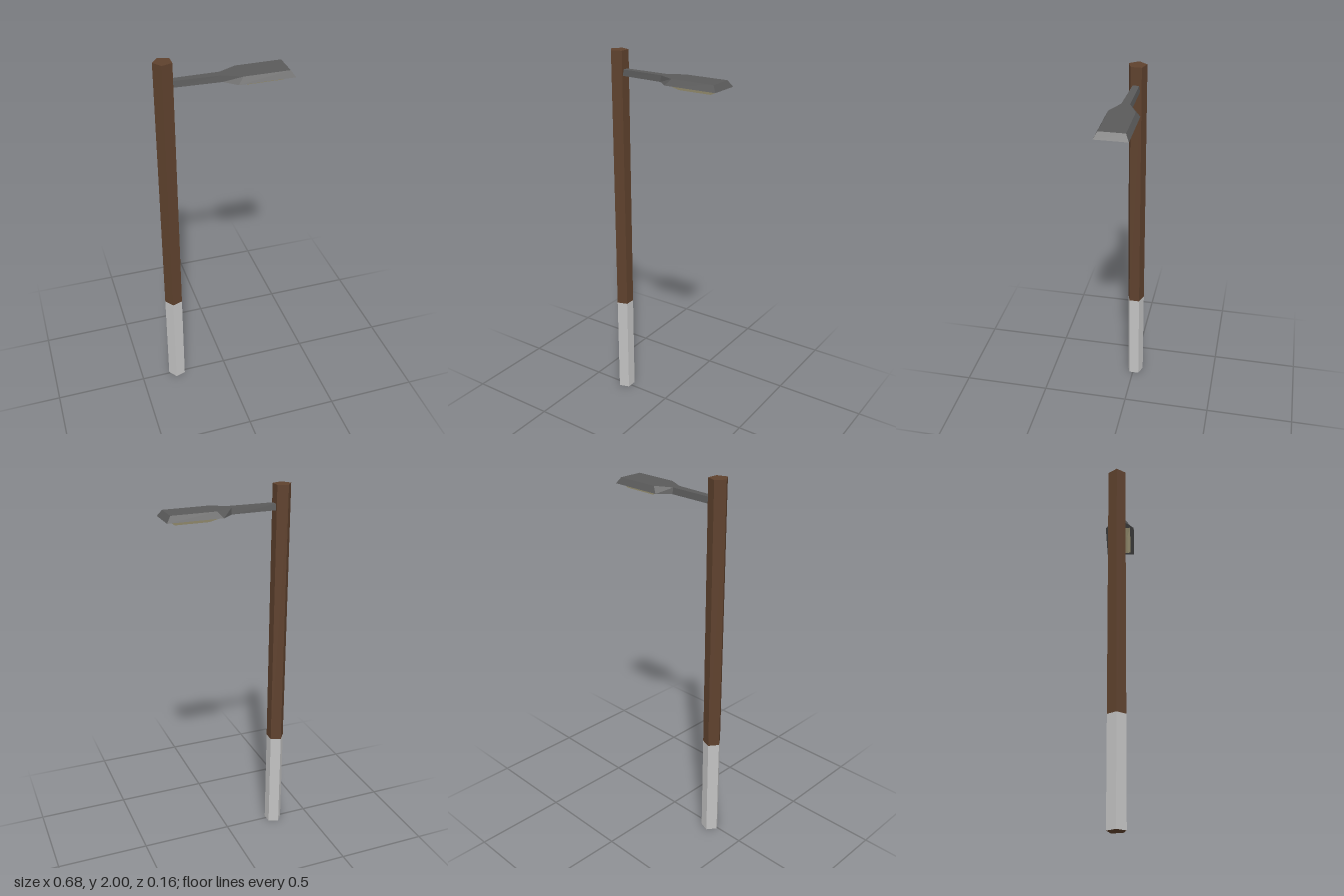
import * as THREE from 'three';

const material = (name, color) => {
  const m = new THREE.MeshStandardMaterial({ color });
  m.name = name;
  return m;
};

// Solid between two outlines of [x, z] points, counter-clockwise from above.
// Groups: 0 sides, 1 top cap, 2 bottom cap.
function loft(bottom, y0, top, y1) {
  const pos = [];
  const lo = bottom.map(([x, z]) => [x, y0, z]);
  const hi = top.map(([x, z]) => [x, y1, z]);
  const tri = (a, b, c) => pos.push(...a, ...b, ...c);
  const n = lo.length;
  for (let i = 0; i < n; i++) {
    const j = (i + 1) % n;
    tri(lo[i], lo[j], hi[j]);
    tri(lo[i], hi[j], hi[i]);
  }
  const sides = pos.length / 3;
  const cap = (ring) => THREE.ShapeUtils.triangulateShape(
    ring.map(([x, z]) => new THREE.Vector2(x, -z)), []);
  for (const [a, b, c] of cap(top)) tri(hi[a], hi[b], hi[c]);
  const topEnd = pos.length / 3;
  for (const [a, b, c] of cap(bottom)) tri(lo[c], lo[b], lo[a]);
  const total = pos.length / 3;
  const g = new THREE.BufferGeometry();
  g.setAttribute('position', new THREE.Float32BufferAttribute(pos, 3));
  g.addGroup(0, sides, 0);
  g.addGroup(sides, topEnd - sides, 1);
  g.addGroup(topEnd, total - topEnd, 2);
  g.computeVertexNormals();
  return g;
}

export function createModel() {
  const group = new THREE.Group();
  const wood = material('brown wood', 0x5e412d);
  const paint = material('pale grey paint', 0xc2c2c2);
  const metal = material('dark grey metal', 0x5a5a5a);
  const glass = material('cream glass', 0xcfc59c);

  const add = (name, geometry, mats) => {
    const mesh = new THREE.Mesh(geometry, mats);
    mesh.name = name;
    group.add(mesh);
  };

  // Five-sided post with a painted foot and a bare wooden underside
  const post = [[-0.34, -0.008], [-0.306, 0.039], [-0.251, 0.021], [-0.251, -0.036], [-0.305, -0.055]];
  add('paintedPostBase', loft(post, 0, post, 0.563), [paint, paint, wood]);
  add('woodenPost', loft(post, 0.563, post, 2), [wood, wood, wood]);

  // Arm and lamp housing in one piece, bevelled inward towards the top
  const housingBottom = [
    [-0.26, 0.014], [-0.012, 0.025], [0.05, 0.081], [0.338, 0.081],
    [0.338, -0.084], [0.05, -0.084], [-0.012, -0.029], [-0.26, -0.028],
  ];
  const housingTop = [
    [-0.26, 0.010], [-0.012, 0.020], [0.078, 0.063], [0.316, 0.063],
    [0.316, -0.067], [0.078, -0.067], [-0.012, -0.023], [-0.26, -0.023],
  ];
  add('armAndLampHousing', loft(housingBottom, 1.873, housingTop, 1.905), [metal, metal, metal]);

  // Tapered glass under the housing
  const rect = (x0, x1, z0, z1) => [[x0, z1], [x1, z1], [x1, z0], [x0, z0]];
  add('lampGlass',
    loft(rect(0.11, 0.288, -0.045, 0.042), 1.851, rect(0.045, 0.318, -0.063, 0.06), 1.874),
    [glass, glass, glass]);

  return group;
}
